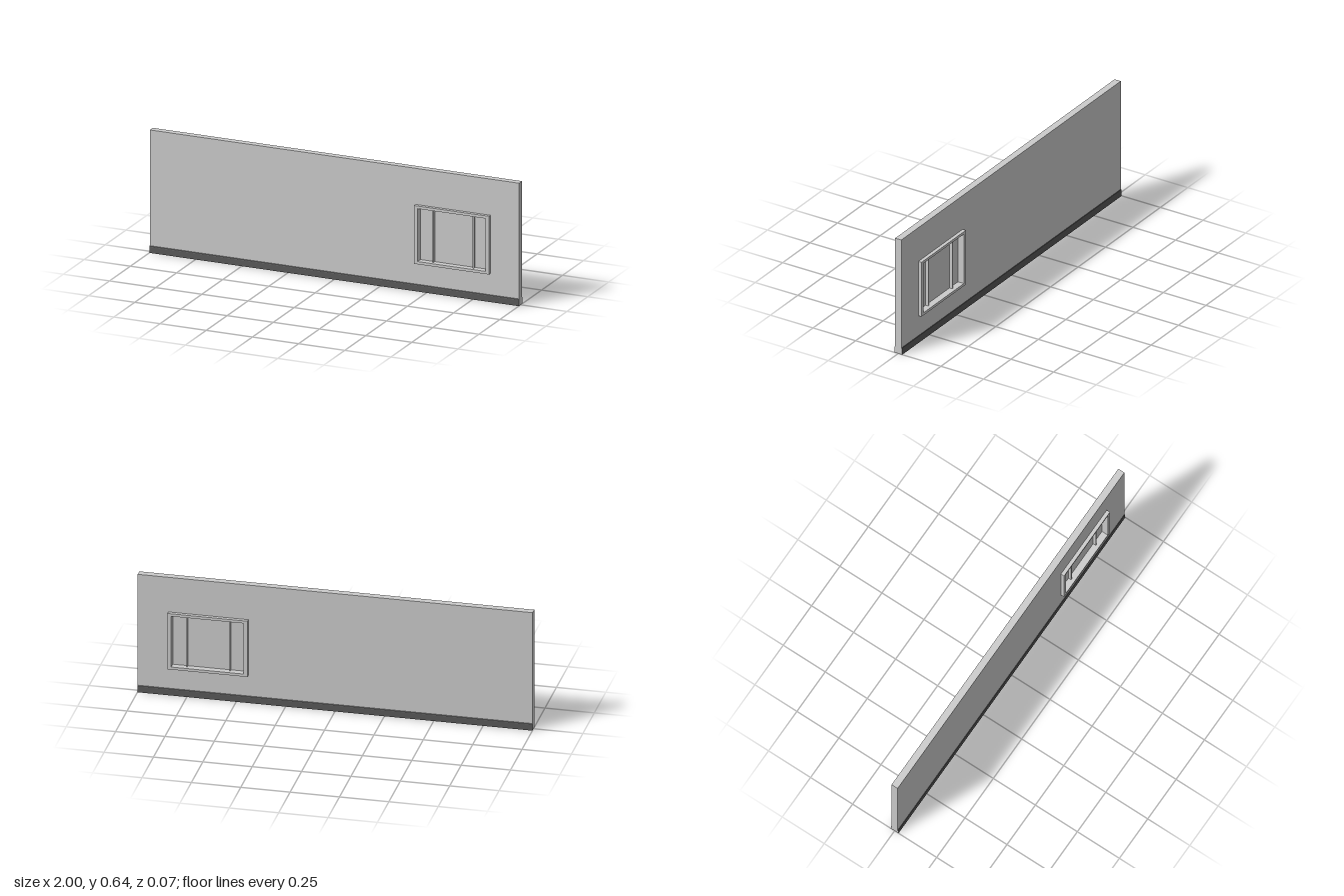
import * as THREE from 'three';

const grey = new THREE.MeshStandardMaterial({ color: 0xcccccc });
const dark = new THREE.MeshStandardMaterial({ color: 0x555555 });

// Window placement on the wall
const win = { x0: 0.44, x1: 0.845, y0: 0.147, y1: 0.45, rim: 0.019, sill: 0.014 };
const inner = {
  x0: win.x0 + win.rim, x1: win.x1 - win.rim,
  y0: win.y0 + win.sill, y1: win.y1 - win.sill,
};

function rectPoints(x0, y0, x1, y1) {
  return [[x0, y0], [x1, y0], [x1, y1], [x0, y1]].map(([x, y]) => new THREE.Vector2(x, y));
}

// Upright rectangular slab with a rectangular hole, centred on z = 0
function holedSlab(name, outer, hole, depth) {
  const shape = new THREE.Shape(rectPoints(...outer));
  shape.holes.push(new THREE.Path(rectPoints(...hole)));
  const geo = new THREE.ExtrudeGeometry(shape, { depth, bevelEnabled: false });
  geo.translate(0, 0, -depth / 2);
  const mesh = new THREE.Mesh(geo, grey);
  mesh.name = name;
  return mesh;
}

function box(name, x0, y0, x1, y1, depth) {
  const mesh = new THREE.Mesh(new THREE.BoxGeometry(x1 - x0, y1 - y0, depth), grey);
  mesh.position.set((x0 + x1) / 2, (y0 + y1) / 2, 0);
  mesh.name = name;
  return mesh;
}

export function createModel() {
  const model = new THREE.Group();
  model.name = 'wallWithWindow';

  // Wall panel above the skirting
  model.add(holedSlab('wall', [-1, 0.036, 1, 0.638],
    [win.x0 + 0.005, win.y0 + 0.005, win.x1 - 0.005, win.y1 - 0.005], 0.036));

  // Skirting: tapered profile with a softened top edge, swept along the wall
  const side = [[0.0235, 0], [0.0215, 0.03], [0.0205, 0.034], [0.018, 0.036]];
  const profile = [...side, ...side.map(([z, y]) => [-z, y]).reverse()]
    .map(([z, y]) => new THREE.Vector2(z, y));
  const skirtGeo = new THREE.ExtrudeGeometry(new THREE.Shape(profile), { depth: 2, bevelEnabled: false });
  skirtGeo.translate(0, 0, -1).rotateY(Math.PI / 2);
  const skirting = new THREE.Mesh(skirtGeo, [grey, dark]);
  skirting.name = 'skirting';
  model.add(skirting);

  // Window: frame standing proud on both faces, thin pane and two upright bars
  const windowGroup = new THREE.Group();
  windowGroup.name = 'window';
  windowGroup.add(holedSlab('windowFrame', [win.x0, win.y0, win.x1, win.y1],
    [inner.x0, inner.y0, inner.x1, inner.y1], 0.073));
  windowGroup.add(box('windowPane', inner.x0, inner.y0, inner.x1, inner.y1, 0.004));
  for (const x of [0.533, 0.751]) {
    windowGroup.add(box('windowBar', x - 0.003, inner.y0, x + 0.003, inner.y1, 0.036));
  }
  model.add(windowGroup);

  return model;
}
